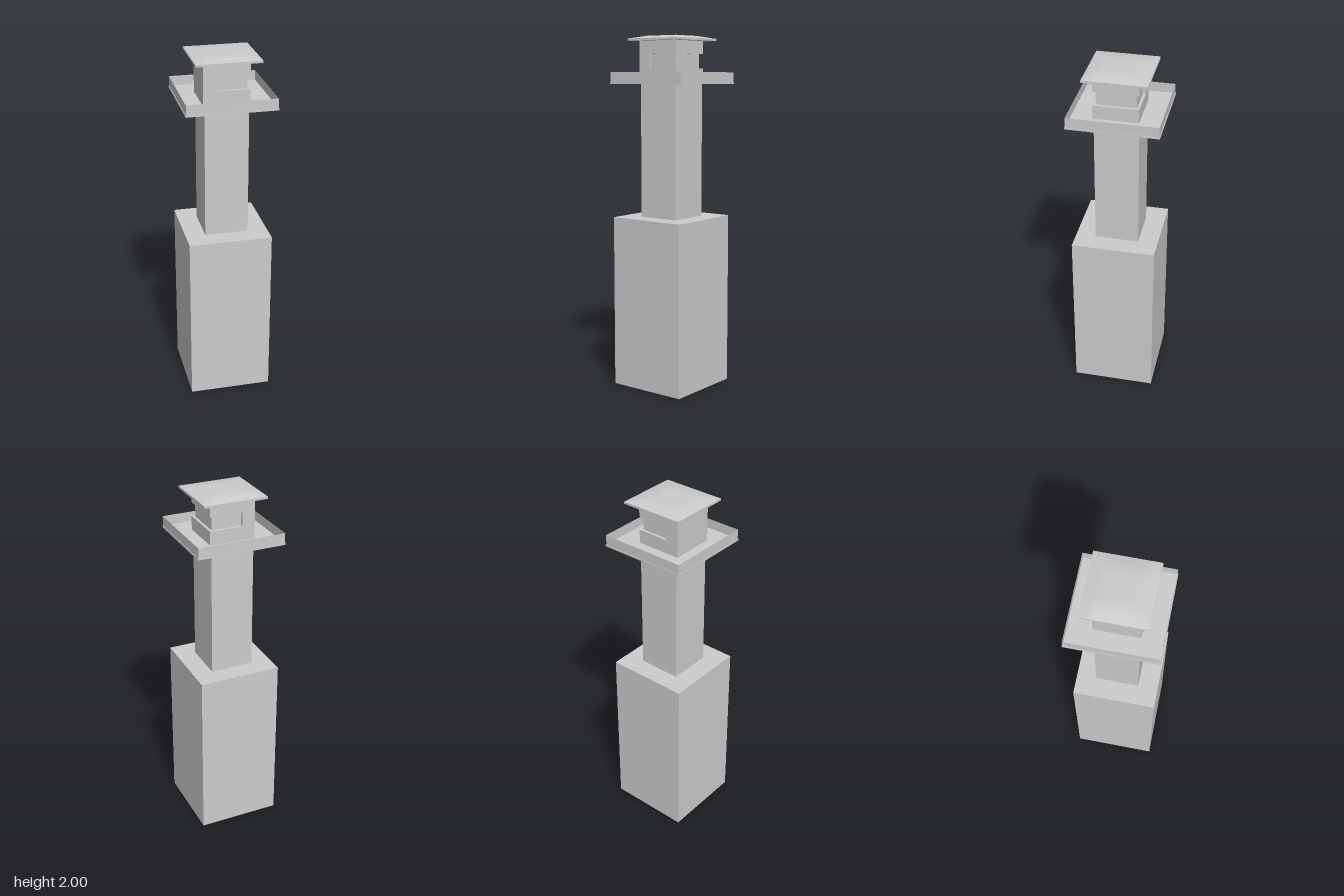
import * as THREE from 'three';

export function createModel() {
  const model = new THREE.Group();
  model.name = 'watchtower';
  const material = new THREE.MeshStandardMaterial({ color: 0xcccccc });
  const sheet = new THREE.MeshStandardMaterial({ color: 0xcccccc, side: THREE.DoubleSide });

  const add = (name, geometry, parent = model, mat = material) => {
    const mesh = new THREE.Mesh(geometry, mat);
    mesh.name = name;
    parent.add(mesh);
    return mesh;
  };
  // Box given by its limits on each axis
  const block = (name, [x0, x1], [y0, y1], [z0, z1], parent) =>
    add(name, new THREE.BoxGeometry(x1 - x0, y1 - y0, z1 - z0)
      .translate((x0 + x1) / 2, (y0 + y1) / 2, (z0 + z1) / 2), parent);
  const group = (name) => {
    const g = new THREE.Group();
    g.name = name;
    model.add(g);
    return g;
  };

  // Base and shaft
  block('base', [-0.238, 0.23], [0, 0.98], [-0.23, 0.238]);
  block('shaft', [-0.126, 0.119], [0.98, 1.736], [-0.119, 0.126]);

  // Balcony: thin floor with a thin parapet, open at the top
  const balcony = group('balcony');
  block('balconyFloor', [-0.25, 0.25], [1.733, 1.743], [-0.25, 0.25], balcony);
  const height = 0.055, reach = 0.247;
  for (let i = 0; i < 4; i++) {
    const wall = new THREE.PlaneGeometry(2 * reach, height)
      .translate(0, 1.743 + height / 2, reach)
      .rotateY(i * Math.PI / 2);
    add('parapetWall', wall, balcony, sheet);
  }

  // Lookout cabin: window band wraps three sides, solid at the -x side
  const cabin = group('cabin');
  const cx = [-0.132, 0.125], cz = [-0.118, 0.13];
  block('cabinSill', cx, [1.743, 1.82], cz, cabin);
  block('cabinLintel', cx, [1.899, 1.974], cz, cabin);
  block('cabinSolidSide', [cx[0], -0.06], [1.82, 1.899], cz, cabin);
  block('cabinWindow', [-0.06, 0.11], [1.82, 1.899], [-0.103, 0.114], cabin);

  // Roof: thin slab with a softly sloped cap that is flat in the middle
  const roof = group('roof');
  block('roofSlab', [-0.18, 0.179], [1.972, 1.984], [-0.172, 0.176], roof);
  const cap = new THREE.PlaneGeometry(2, 2, 9, 9).rotateX(-Math.PI / 2);
  const p = cap.attributes.position;
  for (let i = 0; i < p.count; i++) {
    const edge = Math.max(Math.abs(p.getX(i)), Math.abs(p.getZ(i)));
    p.setY(i, 0.016 * Math.min(1, (1 - edge) / 0.44));
  }
  cap.scale(0.1795, 1, 0.174).translate(-0.0005, 1.984, 0.002);
  cap.computeVertexNormals();
  add('roofCap', cap, roof);

  return model;
}
